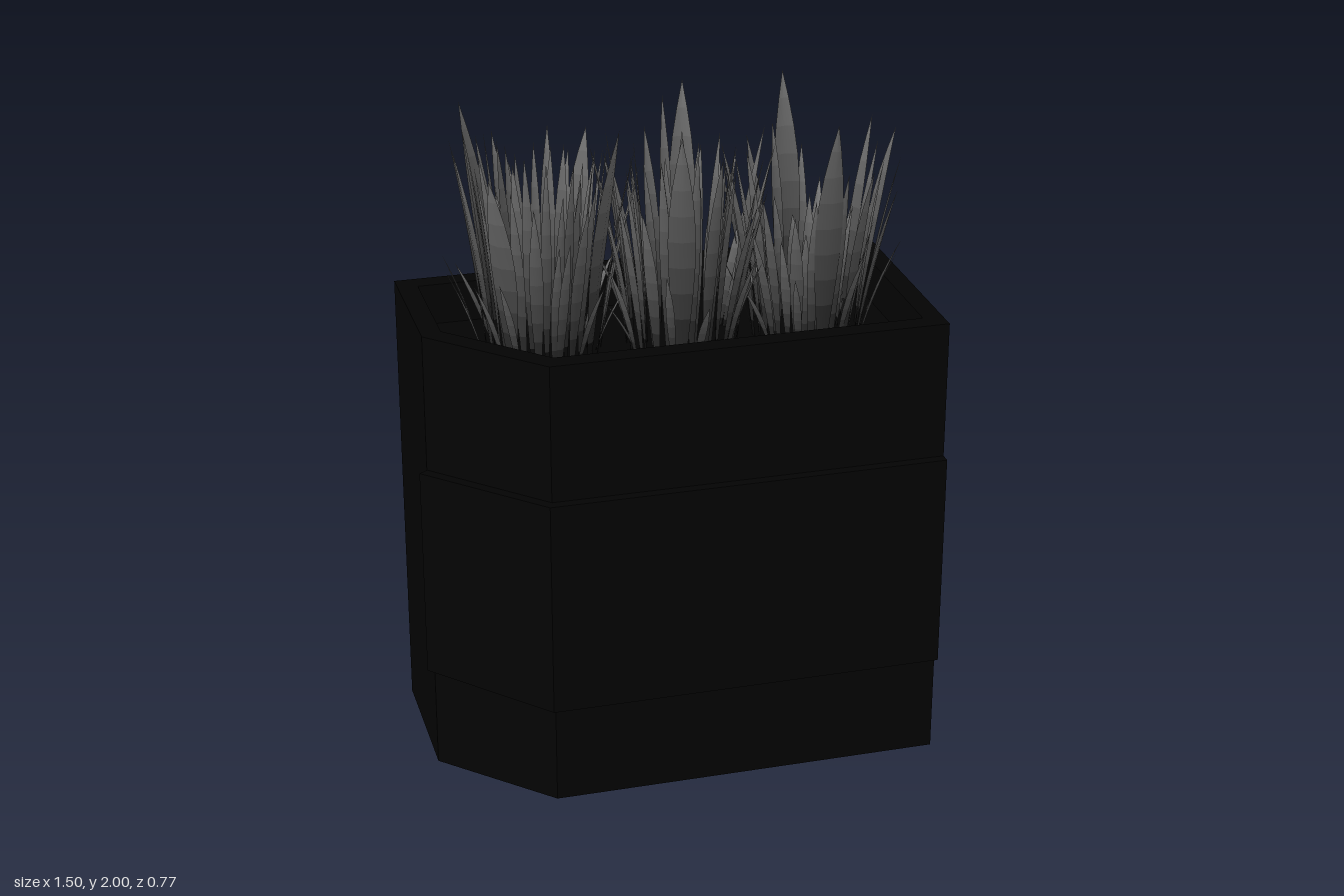
import * as THREE from 'three';

const ROWS = 9;
const DARK = new THREE.MeshStandardMaterial({ color: 0x030303 });
// blade shades from dark foot to pale tip
const LEAF = Array.from({ length: ROWS }, (_, i) => new THREE.MeshStandardMaterial({
  color: new THREE.Color(0x0c0c0c).lerp(new THREE.Color(0x707070), i / (ROWS - 1)),
  side: THREE.DoubleSide,
}));

// small seeded random numbers
let seed = 7;
const rand = () => (seed = (seed * 16807) % 2147483647) / 2147483647;
const between = (a, b) => a + (b - a) * rand();

// upright prism from a footprint of [x, z] points
function prism(name, points, y0, y1, hole) {
  const toV = ([x, z]) => new THREE.Vector2(x, -z);
  const shape = new THREE.Shape(points.map(toV));
  if (hole) shape.holes.push(new THREE.Path(hole.map(toV)));
  const geo = new THREE.ExtrudeGeometry(shape, { depth: y1 - y0, bevelEnabled: false });
  geo.rotateX(-Math.PI / 2).translate(0, y0, 0);
  const mesh = new THREE.Mesh(geo, DARK);
  mesh.name = name;
  return mesh;
}

// pointed, lightly folded blade curving outward along +z, narrow at the foot
function bladeGeometry(r0, r1, height, width) {
  const pos = [], index = [];
  for (let i = 0; i <= ROWS; i++) {
    const t = i / ROWS;
    const half = width * 0.5 * Math.sin(Math.PI * (0.1 + 0.9 * Math.pow(t, 1.3)));
    const z = r0 + (r1 - r0) * (0.7 * t + 0.3 * t * t);
    for (const s of [-1, 0, 1]) pos.push(s * (i === ROWS ? 0 : half), height * t, z - Math.abs(s) * half * 0.25);
    if (i < ROWS) for (let j = 0; j < 2; j++) {
      const a = i * 3 + j;
      index.push(a, a + 1, a + 4, a, a + 4, a + 3);
    }
  }
  const geo = new THREE.BufferGeometry();
  geo.setAttribute('position', new THREE.Float32BufferAttribute(pos, 3));
  geo.setIndex(index);
  for (let k = 0; k < ROWS; k++) geo.addGroup(k * 12, 12, k);
  geo.computeVertexNormals();
  return geo;
}

// clump: four tall broad leaves, narrow leaves fanned beside them, an inner ring
function makePlant(x, z, turn, tall) {
  const plant = new THREE.Group();
  plant.name = 'plant';
  const add = (angle, r0, r1, h, w) => {
    const leaf = new THREE.Mesh(bladeGeometry(r0, r1, h, w), LEAF);
    leaf.name = 'leaf';
    leaf.rotation.y = angle;
    plant.add(leaf);
  };
  for (let q = 0; q < 4; q++) {
    const a = q * Math.PI / 2;
    add(a, 0.16, 0.265, q % 2 ? 0.63 : 0.74, 0.08);
    add(a, 0.1, 0.14, between(0.3, 0.4) + tall, 0.045);
    for (const s of [-1, 1]) {
      add(a + s * between(0.18, 0.25), 0.15, between(0.22, 0.25), between(0.5, 0.66) + tall * 0.2, 0.035);
      add(a + s * between(0.42, 0.5), 0.16, between(0.25, 0.28), between(0.4, 0.66) + tall * 0.2, 0.04);
      add(a + s * between(0.66, 0.76), 0.17, between(0.27, 0.31), between(0.3, 0.6), 0.03);
      add(a + s * between(0.3, 0.38), 0.11, 0.16, between(0.28, 0.4) + tall, 0.035);
      add(a + s * between(0.58, 0.7), 0.13, 0.2, between(0.25, 0.4) + tall, 0.03);
      add(a + s * between(0.1, 0.6), 0.15, 0.27, between(0.2, 0.34), 0.025);
    }
  }
  plant.position.set(x, 1.26, z);
  plant.rotation.y = turn;
  return plant;
}

export function createModel() {
  seed = 7;
  const model = new THREE.Group();
  model.name = 'planter';

  // box with one cut corner, hollow at the top
  const outer = [[-0.73, -0.385], [-0.73, 0.053], [-0.428, 0.355], [0.75, 0.355], [0.75, -0.385]];
  const inner = [[-0.67, -0.325], [-0.67, 0.028], [-0.403, 0.295], [0.69, 0.295], [0.69, -0.325]];
  model.add(prism('planterBox', outer, 0, 1.405, inner));
  model.add(prism('soil', inner, 0, 1.28));

  // raised panel wrapping the front and the cut corner, its lower edge rising at the side
  const band = [[-0.73, 0.053], [-0.755, 0.07], [-0.44, 0.385], [0.75, 0.385], [0.75, 0.355], [-0.428, 0.355]];
  const panel = prism('frontPanel', band, 0.315, 0.985);
  const p = panel.geometry.attributes.position;
  for (let i = 0; i < p.count; i++) {
    if (p.getX(i) < -0.7 && p.getY(i) < 0.5) p.setY(i, 0.33);
  }
  panel.geometry.computeVertexNormals();
  model.add(panel);

  // three clumps, each turned differently
  model.add(makePlant(-0.36, -0.04, 0.8, 0.28), makePlant(0.05, 0, -0.27, 0.25), makePlant(0.43, 0, 0, 0));
  return model;
}
